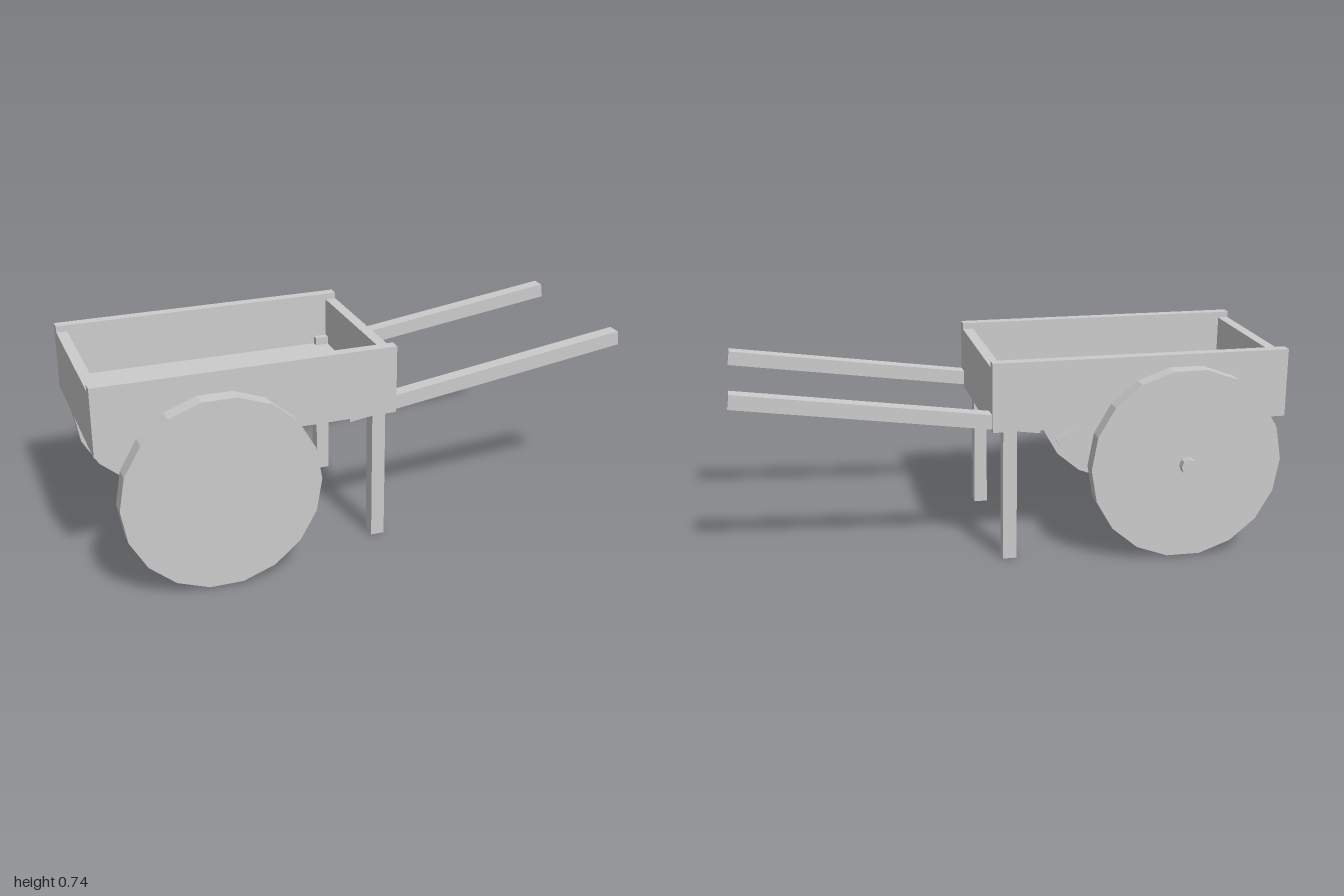
import * as THREE from 'three';

export function createModel() {
  const cart = new THREE.Group();
  cart.name = 'handcart';
  const wood = new THREE.MeshStandardMaterial({ color: 0xcccccc });
  wood.name = 'plain grey';

  function add(name, geometry, x, y, z, parent = cart) {
    const mesh = new THREE.Mesh(geometry, wood);
    mesh.name = name;
    mesh.position.set(x, y, z);
    parent.add(mesh);
    return mesh;
  }

  // Box given by its limits on each axis
  function board(name, [x0, x1], [y0, y1], [z0, z1]) {
    return add(name, new THREE.BoxGeometry(x1 - x0, y1 - y0, z1 - z0),
      (x0 + x1) / 2, (y0 + y1) / 2, (z0 + z1) / 2);
  }

  // Flat-faceted cylinder lying along z, with a corner on the x axis
  function disc(name, radius, sides, z0, z1) {
    const geometry = new THREE.CylinderGeometry(radius, radius, z1 - z0, sides)
      .rotateY(Math.PI / 2).rotateX(Math.PI / 2).toNonIndexed();
    geometry.computeVertexNormals();
    return add(name, geometry, -0.602, 0.355, (z0 + z1) / 2);
  }

  // Tray: floor, long sides and lower end boards
  board('floor', [-0.96, 0.05], [0.488, 0.54], [-0.31, 0.275]);
  board('leftSide', [-1, 0.09], [0.488, 0.74], [0.275, 0.316]);
  board('rightSide', [-1, 0.09], [0.488, 0.74], [-0.35, -0.31]);
  board('tailBoard', [-1, -0.96], [0.488, 0.717], [-0.31, 0.275]);
  board('handleEndBoard', [0.05, 0.09], [0.488, 0.717], [-0.31, 0.275]);

  // Legs and sloping handles, one pair on each side
  for (const z of [0.284, -0.312]) {
    board('leg', [0, 0.05], [0, 0.57], [z - 0.0265, z + 0.0265]);
    const handle = add('handle', new THREE.BoxGeometry(1.095, 0.053, 0.053), 0.454, 0.574, z);
    handle.rotation.z = 0.137;
  }

  // Wheels and axle
  disc('frontWheel', 0.353, 18, 0.411, 0.471);
  disc('backWheel', 0.353, 18, -0.44, -0.38);
  disc('axle', 0.03, 8, -0.47, 0.43);

  // Three crossed bars inside the front wheel
  const spokes = new THREE.Group();
  spokes.name = 'spokes';
  spokes.position.set(-0.602, 0.355, 0.37);
  cart.add(spokes);
  for (let i = 0; i < 3; i++) {
    const spoke = add('spoke', new THREE.BoxGeometry(0.035, 0.65, 0.024), 0, 0, 0, spokes);
    spoke.rotation.z = i * Math.PI / 3;
  }
  return cart;
}
